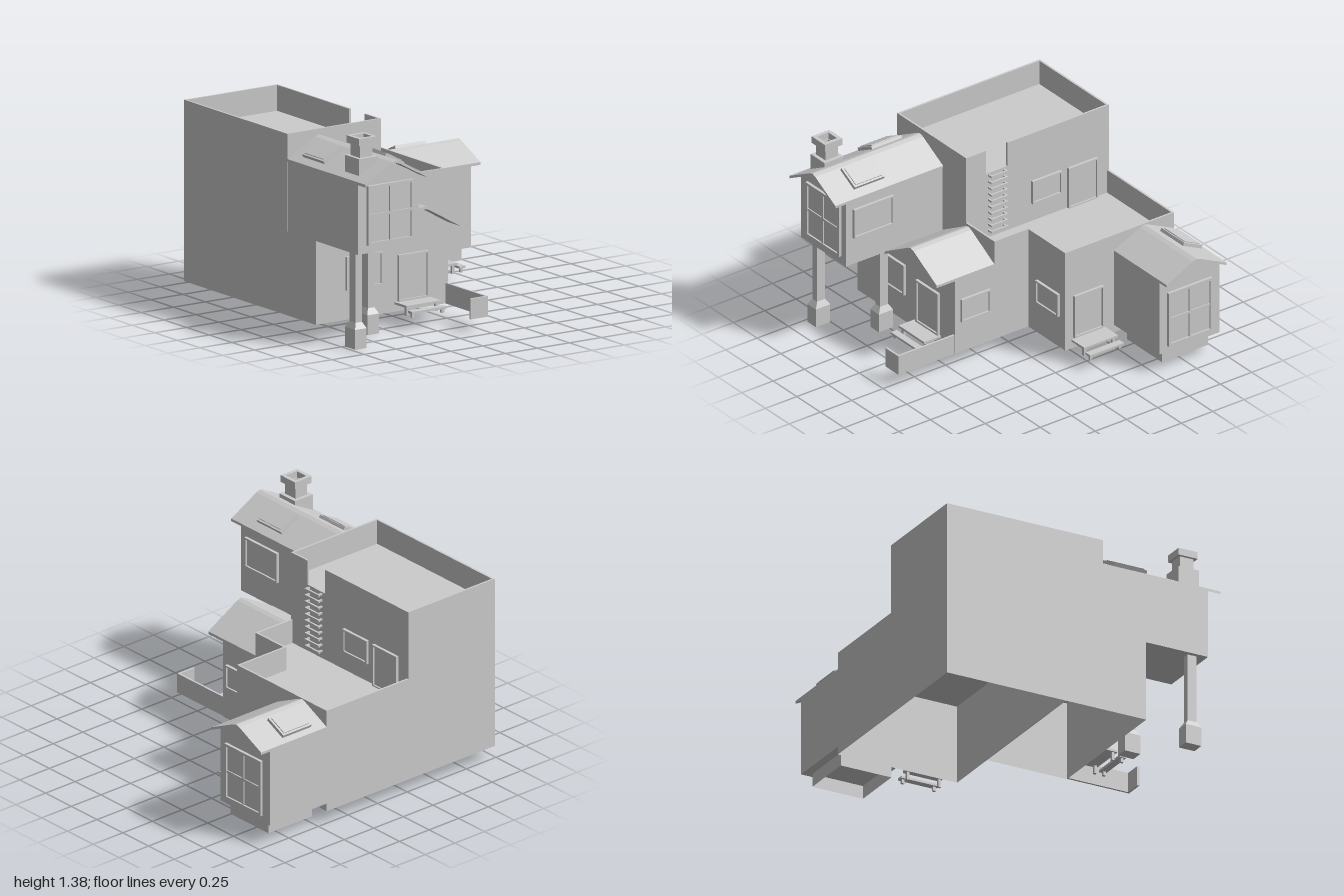
import * as THREE from 'three';

const mat = new THREE.MeshStandardMaterial({ color: 0xcccccc, side: THREE.DoubleSide, flatShading: true });

function add(parent, name, geo) {
  const m = new THREE.Mesh(geo, mat);
  m.name = name;
  parent.add(m);
  return m;
}

// Box given by its extents
function box(parent, name, x0, x1, y0, y1, z0, z1) {
  const m = add(parent, name, new THREE.BoxGeometry(x1 - x0, y1 - y0, z1 - z0));
  m.position.set((x0 + x1) / 2, (y0 + y1) / 2, (z0 + z1) / 2);
  return m;
}

const poly = (pts) => new THREE.Shape(pts.map(([x, y]) => new THREE.Vector2(x, y)));
const extrude = (shape, depth) => new THREE.ExtrudeGeometry(shape, { depth, bevelEnabled: false });
const rect = (w, h) => [[-w / 2, -h / 2], [w / 2, -h / 2], [w / 2, h / 2], [-w / 2, h / 2]];

// Rectangular ring with a hole, extruded along z
function ring(w, h, t, depth) {
  const s = poly(rect(w, h));
  s.holes.push(poly(rect(w - 2 * t, h - 2 * t)));
  return extrude(s, depth);
}

// Upright walls along a closed footprint, open above and below
function walls(parent, name, pts, y0, y1) {
  const pos = [];
  pts.forEach(([ax, az], i) => {
    const [bx, bz] = pts[(i + 1) % pts.length];
    pos.push(ax, y0, az, bx, y0, bz, bx, y1, bz, ax, y0, az, bx, y1, bz, ax, y1, az);
  });
  const g = new THREE.BufferGeometry();
  g.setAttribute('position', new THREE.Float32BufferAttribute(pos, 3));
  g.computeVertexNormals();
  return add(parent, name, g);
}

// Framed window or door facing +z, turned by rotY
function opening(parent, name, x, y, z, w, h, rotY = 0, bars = false) {
  const g = new THREE.Group();
  g.name = name;
  const t = bars ? 0.018 : 0.012;
  add(g, 'frame', ring(w, h, t, 0.02));
  box(g, 'pane', -w / 2 + t, w / 2 - t, -h / 2 + t, h / 2 - t, 0, 0.008);
  if (bars) {
    box(g, 'uprightBar', -0.008, 0.008, -h / 2 + t, h / 2 - t, 0.006, 0.016);
    box(g, 'crossBar', -w / 2 + t, w / 2 - t, -0.008, 0.008, 0.006, 0.016);
  }
  g.position.set(x, y, z);
  g.rotation.y = rotY;
  parent.add(g);
}

// Thin gable roof with a blunted ridge, running along local z from 0
function gableRoof(parent, name, half, rise, length, t = 0.018) {
  const top = [[-half, 0], [-0.03, rise - 0.01], [0, rise], [0.03, rise - 0.01], [half, 0]];
  const under = top.map(([x, y]) => [x, y - t]).reverse();
  return add(parent, name, extrude(poly([...top, ...under]), length));
}

// Room with a pointed end wall, running along local z from 0
function gableRoom(parent, name, half, y0, eave, apex, length) {
  return add(parent, name, extrude(poly([[-half, y0], [half, y0], [half, eave], [0, apex], [-half, eave]]), length));
}

// Raised skylight lying in a roof slope
function skylight(parent, x, y, z, rotY, tilt) {
  const g = new THREE.Group();
  g.name = 'skylight';
  const inner = new THREE.Group();
  inner.rotation.x = tilt;
  box(inner, 'skylightFrame', -0.12, 0.12, -0.015, 0.008, -0.082, 0.082);
  box(inner, 'skylightPane', -0.105, 0.105, 0.008, 0.014, -0.068, 0.068);
  g.add(inner);
  g.position.set(x, y, z);
  g.rotation.y = rotY;
  parent.add(g);
}

// Two wooden treads on legs, leading out along +z
function steps(parent, x, z, rotY) {
  const g = new THREE.Group();
  g.name = 'steps';
  box(g, 'upperTread', -0.135, 0.135, 0.135, 0.15, 0, 0.135);
  box(g, 'lowerTread', -0.135, 0.135, 0.108, 0.123, 0.15, 0.198);
  for (const s of [-0.115, 0.115]) {
    box(g, 'upperLeg', s - 0.01, s + 0.01, 0.08, 0.135, 0.1, 0.118);
    box(g, 'lowerLeg', s - 0.01, s + 0.01, 0.08, 0.108, 0.166, 0.184);
  }
  g.position.set(x, 0, z);
  g.rotation.y = rotY;
  parent.add(g);
}

// Post on a flared footing
function stilt(parent, x, z) {
  const g = new THREE.Group();
  g.name = 'stilt';
  box(g, 'post', -0.025, 0.025, 0.16, 0.64, -0.032, 0.032);
  box(g, 'footing', -0.045, 0.045, 0, 0.13, -0.057, 0.057);
  const flare = new THREE.CylinderGeometry(0.025 * Math.SQRT2, 0.045 * Math.SQRT2, 0.04, 4);
  flare.rotateY(Math.PI / 4);
  flare.scale(1, 1, 1.27);
  add(g, 'flare', flare).position.y = 0.15;
  g.position.set(x, 0, z);
  parent.add(g);
}

export function createModel() {
  const house = new THREE.Group();
  house.name = 'house';
  const R = Math.PI / 2;
  const T = 0.014;

  // Ground storey, open underneath, with one partition
  walls(house, 'lowerWalls', [[-0.99, 0.455], [0.04, 0.455], [0.04, -0.13], [0.43, -0.13], [0.43, -1], [-0.99, -1]], 0.085, 0.635);
  box(house, 'partition', -0.985, 0.04, 0.085, 0.62, -0.134, -0.13);
  box(house, 'wingTerrace', -0.26, 0.43, 0.62, 0.635, -1, -0.13);
  box(house, 'cornerTerrace', -0.26, 0.04, 0.62, 0.635, -0.13, 0.14);

  // Low parapet round the terrace
  const low = (...e) => box(house, 'terraceParapet', e[0], e[1], 0.635, 0.8, e[2], e[3]);
  low(-0.26, 0.43, -1, -1 + T);
  low(0.43 - T, 0.43, -1 + T, -0.13);
  low(0.04 - T, 0.43 - T, -0.13 - T, -0.13);
  low(0.04 - T, 0.04, -0.13, 0.14);
  low(-0.26, 0.04 - T, 0.14 - T, 0.14);

  // Tall block, flat roof and parapet with a gap for the ladder
  walls(house, 'upperWalls', [[-0.99, 0.14], [-0.26, 0.14], [-0.26, -1], [-0.99, -1]], 0.635, 1.105);
  box(house, 'flatRoof', -0.99, -0.26, 1.09, 1.105, -1, 0.14);
  const high = (...e) => box(house, 'roofParapet', e[0], e[1], 1.105, 1.275, e[2], e[3]);
  high(-0.99, -0.26, -1, -1 + T);
  high(-0.99, -0.26, 0.14 - T, 0.14);
  high(-0.99, -0.99 + T, -1 + T, 0.14 - T);
  high(-0.26 - T, -0.26, -1 + T, -0.19);
  high(-0.26 - T, -0.26, -0.02, 0.14 - T);

  // Ladder of separate rungs
  for (let y = 0.685; y < 1.1; y += 0.045) {
    box(house, 'ladderRung', -0.235, -0.222, y - 0.007, y + 0.007, -0.17, -0.035);
    for (const z of [-0.165, -0.047]) box(house, 'rungBracket', -0.26, -0.235, y - 0.006, y + 0.006, z, z + 0.012);
  }

  // Front gable porch roof and its infill
  gableRoof(house, 'porchRoof', 0.275, 0.15, 0.46).position.set(-0.237, 0.635, 0.14);
  const infill = add(house, 'porchGable', extrude(poly([[-0.27, 0], [0.27, 0], [0, 0.137]]), 0.01));
  infill.position.set(-0.237, 0.63, 0.445);

  // Low garden wall
  box(house, 'gardenWall', 0.02, 0.035, 0.085, 0.22, 0.455, 0.905);
  box(house, 'gardenWallReturn', -0.1, 0.02, 0.085, 0.22, 0.89, 0.905);

  // Raised room on stilts
  gableRoom(house, 'raisedRoom', 0.238, 0.632, 1.1, 1.218, 0.77).position.set(-0.747, 0, 0.14);
  gableRoof(house, 'raisedRoof', 0.243, 0.127, 0.86).position.set(-0.747, 1.11, 0.14);
  stilt(house, -0.93, 0.81);
  stilt(house, -0.635, 0.53);
  skylight(house, -0.625, 1.192, 0.69, R, 0.49);
  skylight(house, -0.875, 1.188, 0.365, -R, 0.49);

  // Chimney with an open flue
  const flue = (name, w, t, y0, y1) => {
    const m = add(house, name, ring(w, w, t, y1 - y0));
    m.rotation.x = -R;
    m.position.set(-0.87, y0, 0.79);
  };
  box(house, 'chimneyBase', -0.945, -0.795, 1.1, 1.245, 0.715, 0.865);
  flue('chimneyStack', 0.1, 0.012, 1.24, 1.33);
  flue('chimneyCap', 0.14, 0.025, 1.328, 1.375);

  // Side bay with its roof and hollow plinth
  const bay = new THREE.Group();
  bay.name = 'sideBay';
  bay.rotation.y = R;
  bay.position.set(0.43, 0, -0.76);
  gableRoom(bay, 'bayRoom', 0.24, 0.14, 0.675, 0.775, 0.48);
  gableRoof(bay, 'bayRoof', 0.24, 0.11, 0.555).position.y = 0.685;
  house.add(bay);
  walls(house, 'bayPlinth', [[0.5, -0.57], [0.87, -0.57], [0.87, -0.94], [0.5, -0.94]], 0.05, 0.14);
  skylight(house, 0.65, 0.752, -0.893, Math.PI, 0.44);

  // Windows and doors
  opening(house, 'raisedFrontWindow', -0.738, 0.88, 0.91, 0.355, 0.39, 0, true);
  opening(house, 'raisedSideWindow', -0.509, 0.93, 0.7, 0.315, 0.21, R);
  opening(house, 'bayWindow', 0.91, 0.38, -0.755, 0.35, 0.39, R, true);
  opening(house, 'frontWindow', -0.62, 0.39, 0.455, 0.28, 0.22);
  opening(house, 'frontDoor', -0.237, 0.303, 0.455, 0.235, 0.305);
  opening(house, 'porchSideWindow', 0.04, 0.39, 0.298, 0.23, 0.165, R);
  opening(house, 'wingWindow', 0.255, 0.392, -0.13, 0.235, 0.165);
  opening(house, 'wingDoor', 0.43, 0.315, -0.31, 0.235, 0.305, R);
  opening(house, 'terraceWindow', -0.26, 0.848, -0.497, 0.235, 0.165, R);
  opening(house, 'terraceDoor', -0.26, 0.78, -0.785, 0.235, 0.295, R);

  // Entrance steps
  steps(house, -0.243, 0.455, 0);
  steps(house, 0.43, -0.315, R);

  return house;
}
